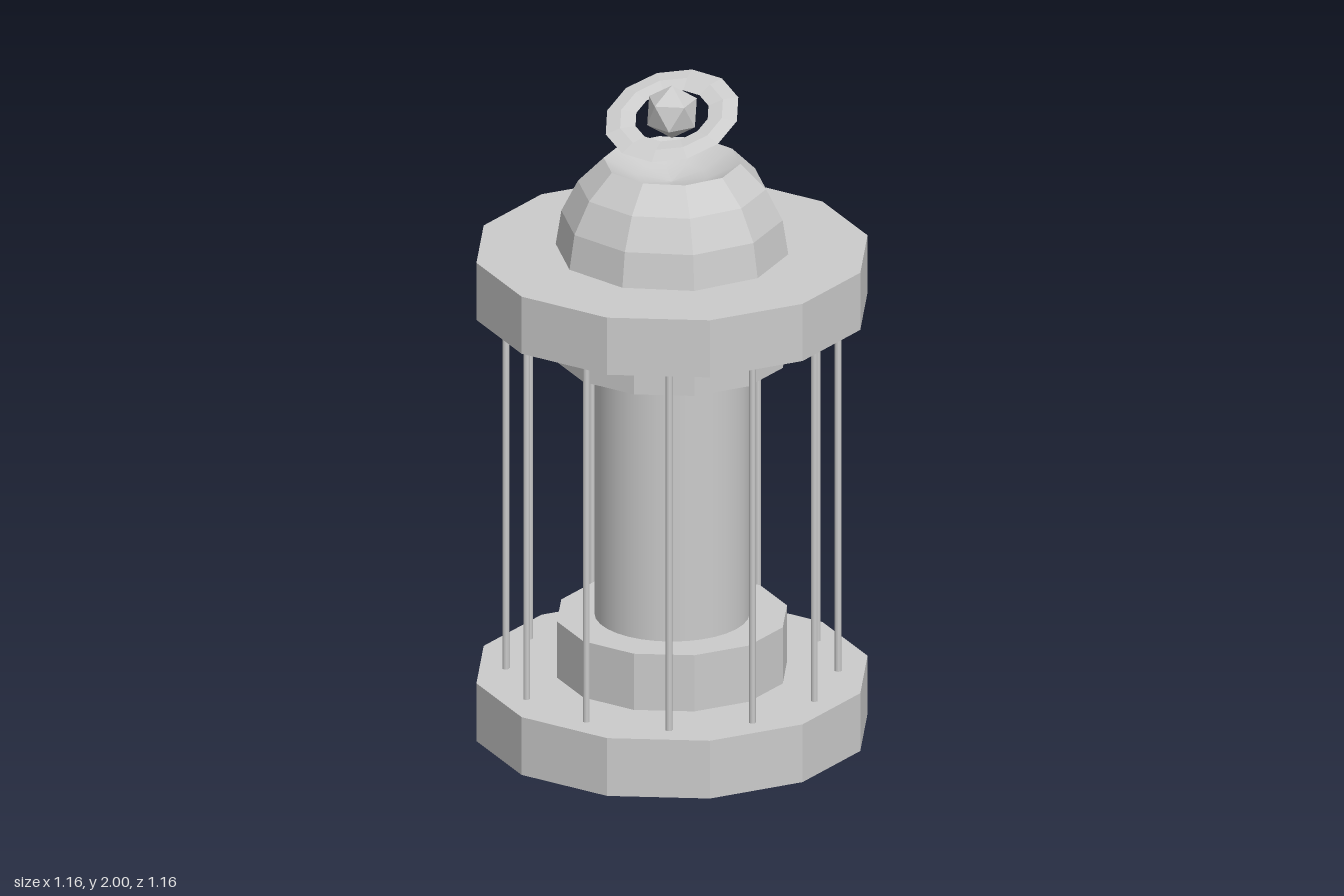
import * as THREE from 'three';

const flat = new THREE.MeshStandardMaterial({ color: 0xcccccc, flatShading: true });
const smooth = new THREE.MeshStandardMaterial({ color: 0xcccccc });

export function createModel() {
  const group = new THREE.Group();

  function add(name, geometry, material = flat, y = 0) {
    const mesh = new THREE.Mesh(geometry, material);
    mesh.name = name;
    mesh.position.y = y;
    group.add(mesh);
    return mesh;
  }

  // Upright prism standing between two heights
  function prism(name, radius, y0, y1, sides, material = flat) {
    return add(name, new THREE.CylinderGeometry(radius, radius, y1 - y0, sides), material, (y0 + y1) / 2);
  }

  // Slabs, collars and central column
  prism('base', 0.578, 0, 0.18, 12);
  prism('lowerCollar', 0.34, 0.18, 0.355, 12);
  prism('column', 0.225, 0.355, 1.163, 32, smooth);
  prism('upperCollar', 0.34, 1.163, 1.312, 12);
  prism('roofSlab', 0.578, 1.312, 1.49, 12);

  // Ring of slender rods
  for (let i = 0; i < 12; i++) {
    const angle = THREE.MathUtils.degToRad(18 + i * 30);
    const rod = prism('rod', 0.01, 0.18, 1.312, 8, smooth);
    rod.position.x = 0.482 * Math.sin(angle);
    rod.position.z = 0.482 * Math.cos(angle);
  }

  // Ten-sided dome, with the crown dished inwards
  const R = 0.34;
  const at = (deg) => {
    const a = THREE.MathUtils.degToRad(deg);
    return new THREE.Vector2(R * Math.cos(a), R * Math.sin(a));
  };
  const rim = at(54);
  add('dome', new THREE.LatheGeometry([0, 18, 36, 54].map(at), 10), flat, 1.49);
  const dish = [54, 72, 90].map((deg) => {
    const p = at(deg);
    return new THREE.Vector2(Math.max(p.x, 0), 2 * rim.y - p.y);
  });
  add('domeDish', new THREE.LatheGeometry(dish, 10), smooth, 1.49);

  // Finial: faceted ball with a vertex pointing up
  const ball = add('finialBall', new THREE.IcosahedronGeometry(0.082), flat, 1.918);
  ball.rotation.z = -Math.atan(2 / (1 + Math.sqrt(5)));

  // Thin tilted ring around the ball
  const ringGeometry = new THREE.TorusGeometry(0.155, 0.045, 4, 12);
  ringGeometry.scale(1, 1, 0.18);
  ringGeometry.rotateX(-Math.PI / 2);
  const ring = add('finialRing', ringGeometry, flat, 1.905);
  const normal = new THREE.Vector3(-0.25, 1, 0.33).normalize();
  ring.quaternion.setFromUnitVectors(new THREE.Vector3(0, 1, 0), normal);

  return group;
}
